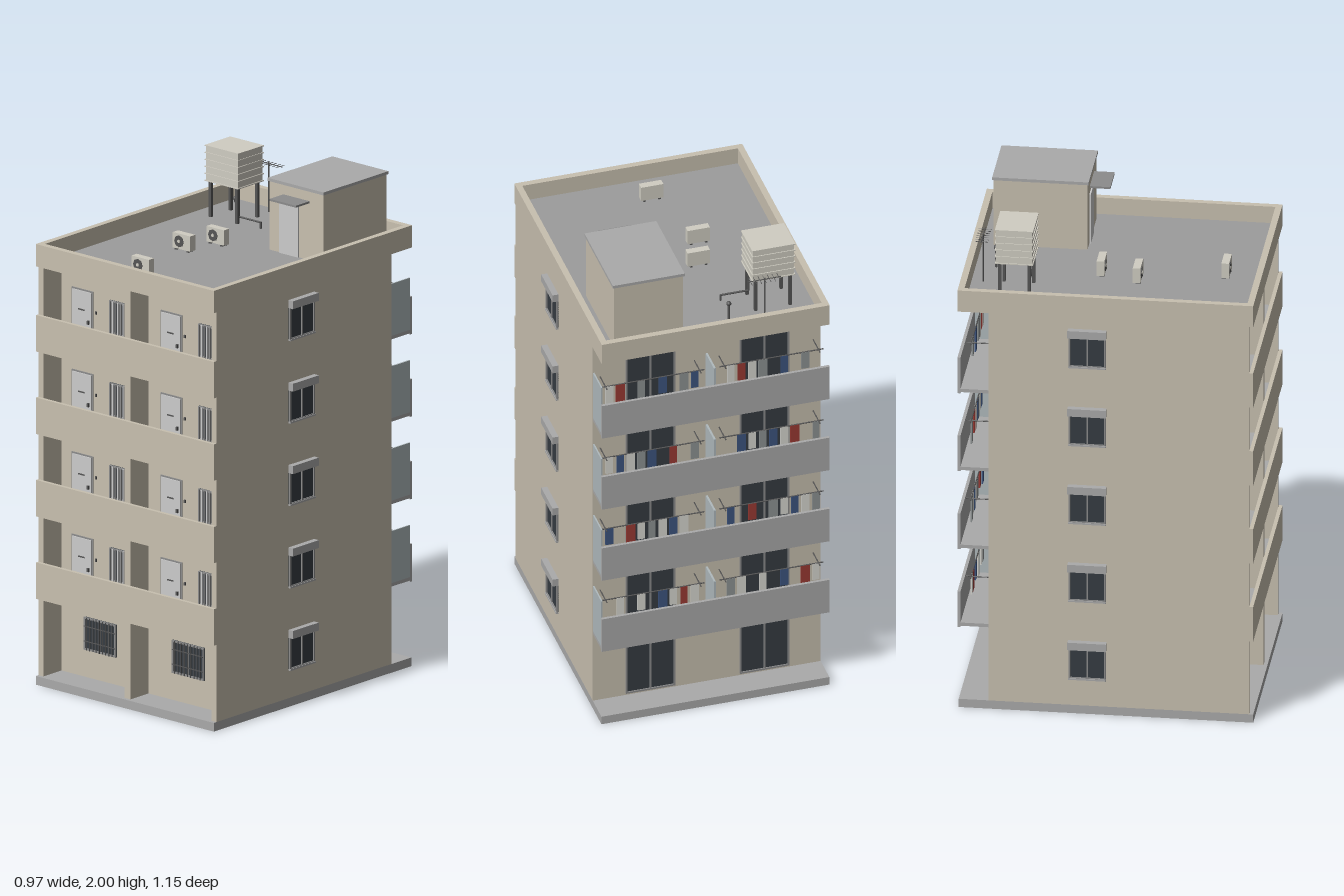
import * as THREE from 'three';

const mat = (color, open) => new THREE.MeshStandardMaterial({ color, side: open ? THREE.DoubleSide : THREE.FrontSide });
const M = {
  wall: mat(0xc8c0b0), slab: mat(0xaaaaaa), roof: mat(0x9c9c9c), glass: mat(0x363c42),
  frame: mat(0x8c8c8c), metal: mat(0x555555), door: mat(0xbcc0bc), panel: mat(0xb0babd, true),
  pale: mat(0xd0cdc2), white: mat(0xd8d8d2), red: mat(0x9c3a34), blue: mat(0x3d5580), grey: mat(0x8f9494),
};
const FLOOR = 0.333;            // storey height
const ROOF = 1.71;              // roof deck level

// Box given by its min and max on each axis
function box(parent, name, m, x0, x1, y0, y1, z0, z1) {
  const mesh = new THREE.Mesh(new THREE.BoxGeometry(x1 - x0, y1 - y0, z1 - z0), m);
  mesh.position.set((x0 + x1) / 2, (y0 + y1) / 2, (z0 + z1) / 2);
  mesh.name = name;
  parent.add(mesh);
  return mesh;
}

// Thin round bar between two points
function bar(parent, name, m, a, b, r) {
  const p = new THREE.Vector3(...a), q = new THREE.Vector3(...b);
  const mesh = new THREE.Mesh(new THREE.CylinderGeometry(r, r, p.distanceTo(q), 8), m);
  mesh.position.copy(p).add(q).multiplyScalar(0.5);
  mesh.quaternion.setFromUnitVectors(new THREE.Vector3(0, 1, 0), q.sub(p).normalize());
  mesh.name = name;
  parent.add(mesh);
}

function group(parent, name) {
  const g = new THREE.Group();
  g.name = name;
  parent.add(g);
  return g;
}

// Framed pane facing +z, centred at the origin, with a middle post
function pane(parent, name, w, h, bars = 0) {
  const g = group(parent, name), t = 0.007, x = w / 2, y = h / 2;
  box(g, 'glass', M.glass, -x, x, -y, y, -0.004, 0.002);
  for (const s of [-1, 1]) {
    box(g, 'frameSide', M.frame, s * (x - t / 2) - t / 2, s * (x - t / 2) + t / 2, -y, y, 0, 0.007);
    box(g, 'frameRail', M.frame, -x, x, s * (y - t / 2) - t / 2, s * (y - t / 2) + t / 2, 0, 0.007);
  }
  box(g, 'middlePost', M.frame, -0.003, 0.003, -y, y, 0, 0.006);
  for (let i = 1; i <= bars; i++) {
    const bx = -x + (w * i) / (bars + 1);
    box(g, 'grilleBar', M.metal, bx - 0.0015, bx + 0.0015, -y, y, 0.006, 0.01);
  }
  return g;
}

function buildShell(root) {
  const g = group(root, 'shell');
  box(g, 'baseSlab', M.slab, -0.46, 0.46, 0, 0.035, -0.57, 0.575);
  box(g, 'body', M.wall, -0.46, 0.46, 0.035, 1.69, -0.455, 0.455);
  for (const [a, b] of [[-0.46, -0.435], [-0.015, 0.015], [0.435, 0.46]])
    box(g, 'frontFin', M.wall, a, b, 0.035, 1.69, 0.455, 0.56);
  // Roof slab and parapet ring
  box(g, 'roofSlab', M.roof, -0.459, 0.459, 1.691, ROOF, -0.57, 0.57);
  for (const s of [-1, 1]) {
    box(g, 'roofParapetSide', M.wall, s * 0.4475 - 0.0125, s * 0.4475 + 0.0125, 1.69, 1.78, -0.575, 0.575);
    box(g, 'roofParapetEnd', M.wall, -0.435, 0.435, 1.69, 1.78, s * 0.5625 - 0.0125, s * 0.5625 + 0.0125);
  }
}

// Access corridor with a door and barred window for each flat
function buildCorridor(root, y) {
  const g = group(root, 'frontCorridor');
  box(g, 'corridorFloor', M.slab, -0.459, 0.459, y, y + 0.014, 0.455, 0.562);
  box(g, 'corridorParapet', M.wall, -0.46, 0.46, y, y + 0.147, 0.56, 0.575);
  for (const x of [-0.323, 0.137]) {
    box(g, 'doorFrame', M.frame, x - 0.055, x + 0.055, y + 0.014, y + 0.253, 0.45, 0.459);
    box(g, 'frontDoor', M.door, x - 0.049, x + 0.049, y + 0.014, y + 0.247, 0.455, 0.464);
    box(g, 'letterSlot', M.metal, x - 0.016, x + 0.016, y + 0.17, y + 0.175, 0.46, 0.467);
    box(g, 'doorHandle', M.metal, x + 0.034, x + 0.042, y + 0.12, y + 0.135, 0.46, 0.472);
    box(g, 'doorBell', M.metal, x + 0.066, x + 0.073, y + 0.165, y + 0.177, 0.45, 0.461);
    pane(g, 'corridorWindow', 0.095, 0.135, 0).position.set(x + 0.191, y + 0.172, 0.457);
    for (let i = 0; i < 7; i++) {
      const bx = x + 0.15 + i * 0.0137;
      box(g, 'windowBar', i % 2 ? M.door : M.frame, bx - 0.003, bx + 0.003, y + 0.106, y + 0.238, 0.463, 0.469);
    }
  }
}

// Rear balcony with end screen, partition, clothes lines and washing
function buildBalcony(root, y, level) {
  const g = group(root, 'rearBalcony');
  box(g, 'balconyFloor', M.slab, -0.459, 0.459, y, y + 0.014, -0.565, -0.455);
  box(g, 'balconyParapet', M.slab, -0.46, 0.46, y - 0.005, y + 0.147, -0.575, -0.563);
  box(g, 'endScreen', M.panel, 0.453, 0.459, y + 0.014, y + 0.224, -0.563, -0.455);
  box(g, 'partition', M.panel, -0.004, 0.004, y + 0.014, y + 0.224, -0.563, -0.455);
  for (const s of [-1, 1]) {
    bar(g, 'clothesRod', M.metal, [s * 0.03, y + 0.2, -0.525], [s * 0.45, y + 0.2, -0.525], 0.0025);
    for (const x of [0.05, 0.43])
      bar(g, 'rodBracket', M.metal, [s * x, y + 0.2, -0.455], [s * x, y + 0.2, -0.545], 0.0025);
  }
  const cloths = [M.white, M.red, M.white, M.blue, M.grey, M.white, M.blue, M.white, M.grey];
  for (let i = 0; i < 18; i++) {
    const k = (i * 5 + level * 7) % 11;
    if (k > 7) continue;
    const x = (i < 9 ? -0.42 : 0.07) + (i % 9) * 0.043;
    const w = 0.014 + (k % 3) * 0.002;
    box(g, 'washing', cloths[(i + level * 4) % 9], x - w, x + w, y + 0.125 - (k % 4) * 0.008, y + 0.2, -0.528, -0.522);
  }
}

function buildOpenings(root) {
  for (let f = 0; f < 5; f++) {
    const y = 0.015 + f * FLOOR;
    // Side windows with hoods; the two sides are offset along the depth
    for (const [s, z] of [[1, 0.068], [-1, -0.07]]) {
      const g = group(root, 'sideWindow');
      pane(g, 'sidePane', 0.145, 0.132);
      box(g, 'windowHood', M.slab, -0.075, 0.075, 0.064, 0.096, -0.002, 0.024);
      box(g, 'windowSill', M.slab, -0.073, 0.073, -0.069, -0.062, -0.002, 0.01);
      g.position.set(s * 0.46, y + 0.2, z);
      g.rotation.y = (s * Math.PI) / 2;
    }
    // Rear sliding doors
    for (const x of [-0.232, 0.228]) {
      const d = pane(root, 'rearSlidingDoor', 0.2, 0.24);
      d.position.set(x, y + 0.15, -0.456);
      d.rotation.y = Math.PI;
    }
  }
  // Ground floor windows with grilles
  for (const x of [-0.23, 0.226]) {
    const w = pane(root, 'groundWindow', 0.165, 0.132, 9);
    w.position.set(x, 0.213, 0.457);
    for (const dy of [-0.03, 0.03])
      box(w, 'grilleRail', M.metal, -0.08, 0.08, dy - 0.0015, dy + 0.0015, 0.006, 0.01);
  }
}

function buildRoofItems(root) {
  // Stair house
  const st = group(root, 'stairHouse');
  box(st, 'stairWalls', M.wall, 0.11, 0.39, ROOF, 1.99, -0.505, -0.14);
  box(st, 'stairRoof', M.slab, 0.105, 0.395, 1.988, 2, -0.51, -0.135);
  box(st, 'stairDoor', M.door, 0.165, 0.262, ROOF, 1.92, -0.145, -0.134);
  box(st, 'doorCanopy', M.frame, 0.182, 0.318, 1.94, 1.948, -0.14, -0.06);

  // Ribbed water tank on legs
  const tk = group(root, 'waterTank');
  box(tk, 'tankBody', M.pale, -0.358, -0.192, 1.857, 1.998, -0.438, -0.297);
  for (let i = 0; i < 6; i++) {
    const y = 1.855 + i * 0.0282;
    box(tk, 'tankRib', M.pale, -0.362, -0.188, y, y + 0.004, -0.442, -0.293);
  }
  for (const x of [-0.345, -0.207]) for (const z of [-0.425, -0.31])
    box(tk, 'tankLeg', M.metal, x - 0.006, x + 0.006, ROOF, 1.857, z - 0.006, z + 0.006);
  bar(tk, 'tankPipe', M.metal, [-0.21, 1.735, -0.322], [-0.095, 1.735, -0.322], 0.004);
  bar(tk, 'tankPipeRiser', M.metal, [-0.21, 1.735, -0.322], [-0.21, 1.86, -0.322], 0.004);
  bar(tk, 'tankPipeDrop', M.metal, [-0.097, ROOF, -0.322], [-0.097, 1.735, -0.322], 0.004);

  // Aerial
  const an = group(root, 'aerial');
  bar(an, 'mast', M.metal, [-0.22, ROOF, -0.505], [-0.22, 1.91, -0.505], 0.003);
  bar(an, 'boom', M.metal, [-0.285, 1.905, -0.505], [-0.15, 1.905, -0.505], 0.002);
  for (let i = 0; i < 7; i++)
    bar(an, 'element', M.metal, [-0.275 + i * 0.019, 1.905, -0.53], [-0.275 + i * 0.019, 1.905, -0.48], 0.0012);

  // Roof vents and drain caps
  for (const [x, z, top] of [[-0.085, -0.47, 1.795], [-0.4, -0.515, 1.725], [0.4, -0.515, 1.725]]) {
    bar(root, 'ventPipe', M.metal, [x, ROOF, z], [x, top, z], 0.005);
    const cap = new THREE.Mesh(new THREE.SphereGeometry(0.01, 12, 8), M.metal);
    cap.name = 'ventCap';
    cap.position.set(x, top, z);
    root.add(cap);
  }

  // Air conditioner units
  for (const [x, z] of [[-0.085, -0.06], [-0.13, 0.086], [-0.045, 0.42]]) {
    const g = group(root, 'airConditioner');
    box(g, 'unitCase', M.pale, x - 0.045, x + 0.045, ROOF + 0.006, ROOF + 0.068, z - 0.015, z + 0.015);
    for (const s of [-1, 1])
      box(g, 'unitFoot', M.metal, x + s * 0.03 - 0.005, x + s * 0.03 + 0.005, ROOF, ROOF + 0.006, z - 0.015, z + 0.015);
    bar(g, 'fan', M.metal, [x - 0.012, ROOF + 0.037, z + 0.014], [x - 0.012, ROOF + 0.037, z + 0.017], 0.024);
    bar(g, 'fanHub', M.pale, [x - 0.012, ROOF + 0.037, z + 0.014], [x - 0.012, ROOF + 0.037, z + 0.019], 0.007);
  }
}

export function createModel() {
  const root = new THREE.Group();
  root.name = 'apartmentBlock';
  buildShell(root);
  for (let i = 0; i < 4; i++) {
    const y = 0.347 + i * FLOOR;
    buildCorridor(root, y);
    buildBalcony(root, y, i);
  }
  buildOpenings(root);
  buildRoofItems(root);
  return root;
}
